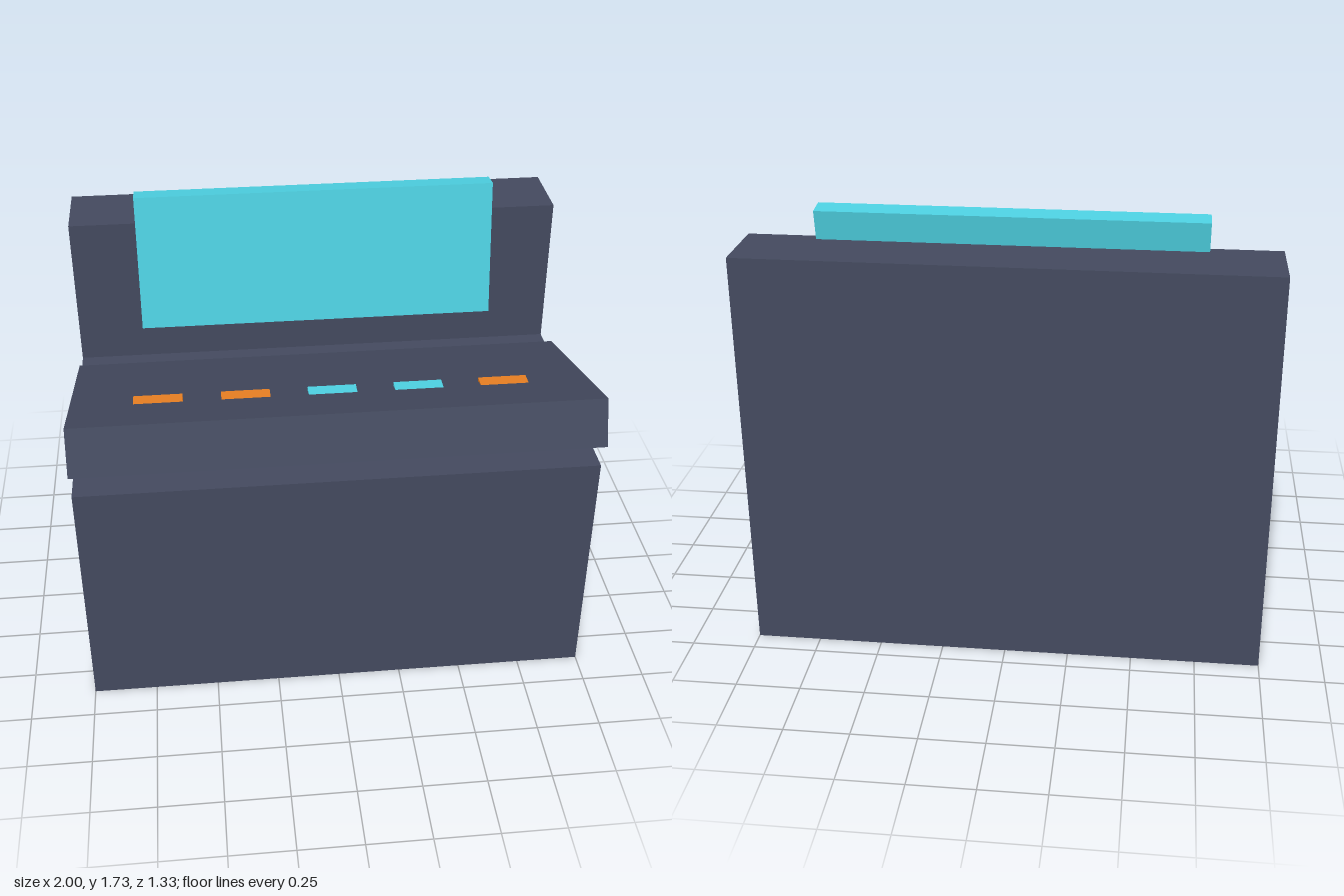
import * as THREE from 'three';

const material = (name, color) => {
  const m = new THREE.MeshStandardMaterial({ color });
  m.name = name;
  return m;
};

// Extrudes a side profile of [z, y] points across the width, centred on x = 0
function slab(name, points, width, mat) {
  const shape = new THREE.Shape(points.map(([z, y]) => new THREE.Vector2(z, y)));
  const geometry = new THREE.ExtrudeGeometry(shape, { depth: width, bevelEnabled: false });
  geometry.translate(0, 0, -width / 2).rotateY(-Math.PI / 2);
  const mesh = new THREE.Mesh(geometry, mat);
  mesh.name = name;
  return mesh;
}

export function createModel() {
  const group = new THREE.Group();
  group.name = 'controlConsole';
  const slate = material('slate', 0x444a5f);
  const cyan = material('cyan', 0x4dd0e1);
  const orange = material('orange', 0xe67e22);

  // Cabinet with raised back
  group.add(slab('cabinet', [
    [0.62, 0], [0.62, 0.99], [-0.38, 0.99], [-0.38, 1.61], [-0.667, 1.61], [-0.667, 0],
  ], 2, slate));

  // Slanted control desk
  group.add(slab('controlDesk', [
    [0.602, 1.283], [0.667, 1.108], [-0.143, 0.88], [-0.208, 1.055],
  ], 2, slate));

  // Leaning display screen
  group.add(slab('screen', [
    [-0.355, 1.733], [-0.268, 1.184], [-0.351, 1.175], [-0.438, 1.724],
  ], 1.46, cyan));

  // Row of buttons set into the desk
  [orange, orange, cyan, cyan, orange].forEach((mat, i) => {
    const button = new THREE.Mesh(new THREE.BoxGeometry(0.187, 0.04, 0.065), mat);
    button.name = `button${i + 1}`;
    button.position.set((i - 2) / 3, 1.194, 0.333);
    group.add(button);
  });

  return group;
}
